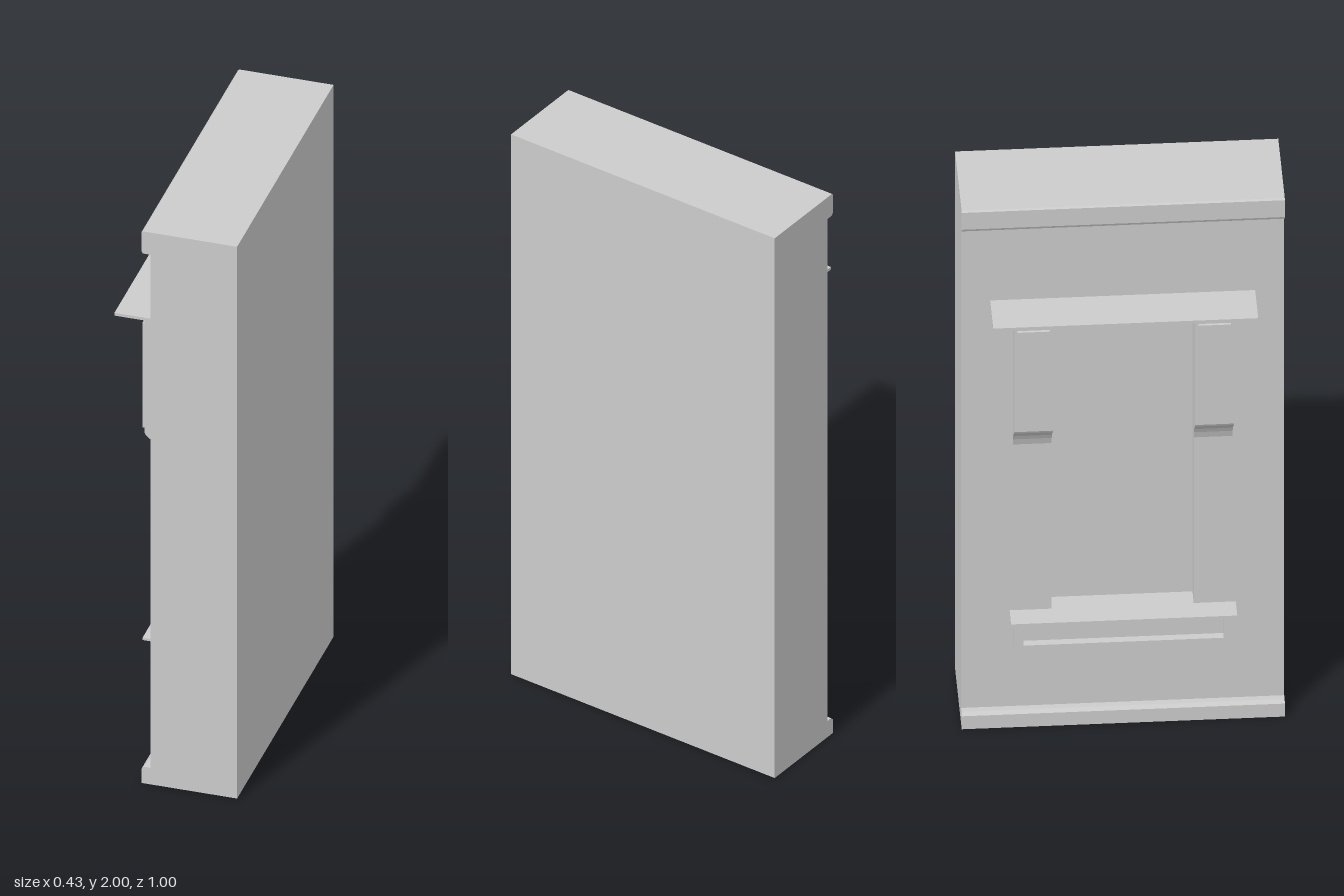
import * as THREE from 'three';

const material = new THREE.MeshStandardMaterial({ color: 0xcccccc });

const WALL = -0.07;    // decorated face of the wall
const BACK = 0.21;     // plain face of the wall
const RECESS = 0.06;   // depth of the blind window

export function createModel() {
  const model = new THREE.Group();
  model.name = 'wallPanel';

  function add(name, geometry, parent = model) {
    const mesh = new THREE.Mesh(geometry, material);
    mesh.name = name;
    parent.add(mesh);
    return mesh;
  }

  // Box given by its limits on each axis
  function block(name, x0, x1, y0, y1, z0, z1, parent) {
    const mesh = add(name, new THREE.BoxGeometry(x1 - x0, y1 - y0, z1 - z0), parent);
    mesh.position.set((x0 + x1) / 2, (y0 + y1) / 2, (z0 + z1) / 2);
    return mesh;
  }

  // Side profile in x and y, extruded from z0 to z1
  function profile(name, shape, z0, z1, parent) {
    const geometry = new THREE.ExtrudeGeometry(shape, { depth: z1 - z0, bevelEnabled: false, curveSegments: 8 });
    add(name, geometry, parent).position.z = z0;
  }

  // Solid wall, with cornice and plinth in one profile
  const core = new THREE.Shape();
  const inner = WALL + RECESS;
  core.moveTo(BACK, 0);
  core.lineTo(BACK, 2);
  core.lineTo(-0.095, 2);
  core.lineTo(-0.1, 1.995);
  core.lineTo(-0.1, 1.93);
  core.lineTo(-0.095, 1.92);
  core.lineTo(inner, 1.92);
  core.lineTo(inner, 0.06);
  core.lineTo(-0.09, 0.06);
  core.lineTo(-0.1, 0.05);
  core.lineTo(-0.1, 0);
  profile('wall', core, -0.5, 0.5);

  // Wall facing with the window opening
  const facing = new THREE.Shape();
  facing.moveTo(-0.5, 0.06);
  facing.lineTo(0.5, 0.06);
  facing.lineTo(0.5, 1.92);
  facing.lineTo(-0.5, 1.92);
  const opening = new THREE.Path();
  opening.moveTo(-0.22, 0.43);
  opening.lineTo(-0.22, 1.6);
  opening.lineTo(0.22, 1.6);
  opening.lineTo(0.22, 0.43);
  facing.holes.push(opening);
  const facingGeometry = new THREE.ExtrudeGeometry(facing, { depth: RECESS, bevelEnabled: false });
  facingGeometry.rotateY(-Math.PI / 2);
  add('facing', facingGeometry).position.x = inner;

  // Window hood: thin shelf on a stepped moulding
  const hood = new THREE.Group();
  hood.name = 'windowHood';
  model.add(hood);
  block('hoodShelf', -0.215, WALL, 1.62, 1.63, -0.41, 0.41, hood);
  block('hoodMoulding', -0.155, WALL, 1.605, 1.62, -0.36, 0.36, hood);
  block('hoodBed', -0.145, WALL, 1.59, 1.605, -0.35, 0.35, hood);

  // Scrolled brackets with a raised front panel
  const scroll = new THREE.Shape();
  scroll.moveTo(WALL, 1.59);
  scroll.lineTo(-0.14, 1.59);
  scroll.lineTo(-0.14, 1.17);
  scroll.bezierCurveTo(-0.13, 1.14, -0.09, 1.15, WALL, 1.07);
  for (const side of [-1, 1]) {
    const bracket = new THREE.Group();
    bracket.name = side > 0 ? 'frontBracket' : 'backBracket';
    model.add(bracket);
    const mid = side * 0.28;
    profile('bracketScroll', scroll, mid - 0.06, mid + 0.06, bracket);
    block('bracketPanel', -0.149, -0.138, 1.18, 1.56, mid - 0.05, mid + 0.05, bracket);
  }

  // Window sill: thin ledge over a framed apron
  const sill = new THREE.Group();
  sill.name = 'windowSill';
  model.add(sill);
  block('sillLedge', -0.143, WALL, 0.422, 0.43, -0.35, 0.35, sill);
  block('apronPanel', -0.09, WALL, 0.32, 0.41, -0.31, 0.31, sill);
  block('apronTop', -0.115, WALL, 0.4, 0.422, -0.34, 0.34, sill);
  block('apronBottom', -0.115, WALL, 0.31, 0.325, -0.34, 0.34, sill);
  for (const side of [-1, 1]) {
    const mid = side * 0.325;
    block('apronEnd', -0.115, WALL, 0.325, 0.4, mid - 0.015, mid + 0.015, sill);
  }

  return model;
}
